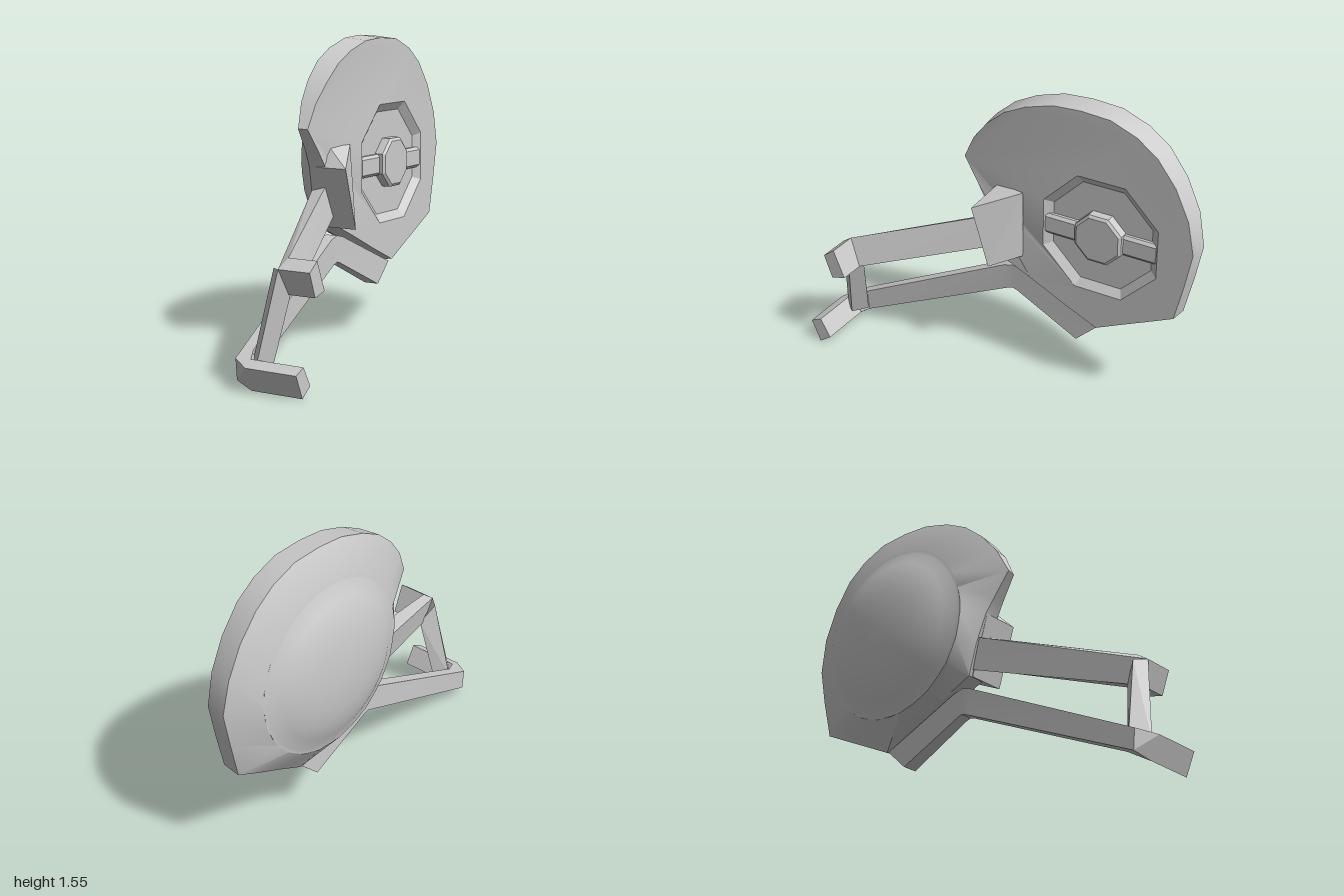
import * as THREE from 'three';
import { toCreasedNormals } from 'three/addons/utils/BufferGeometryUtils.js';
import { ConvexGeometry } from 'three/addons/geometries/ConvexGeometry.js';

const material = new THREE.MeshStandardMaterial({ color: 0xcccccc });
const CY = 0.945, CZ = -0.38;      // centre of the dome
const HY = 0.89, HZ = -0.5;        // centre of the hub
const FACE = -0.045;               // plane of the flat inner face

function add(group, name, geometry, crease = 0.5) {
  const mesh = new THREE.Mesh(toCreasedNormals(geometry, crease), material);
  mesh.name = name;
  group.add(mesh);
  return mesh;
}

// Skin a row of closed rings of [x, y, z]; faces are turned outwards by signed volume
function loft(rings, capStart = true, capEnd = true) {
  const n = rings[0].length, tris = [];
  for (let i = 0; i + 1 < rings.length; i++) {
    for (let j = 0; j < n; j++) {
      const k = (j + 1) % n, p = rings[i], q = rings[i + 1];
      tris.push([p[j], q[j], q[k]], [p[j], q[k], p[k]]);
    }
  }
  const first = rings[0], last = rings[rings.length - 1];
  for (let j = 1; j + 1 < n; j++) {
    if (capStart) tris.push([first[0], first[j], first[j + 1]]);
    if (capEnd) tris.push([last[0], last[j + 1], last[j]]);
  }
  let volume = 0;
  const v = (p) => new THREE.Vector3(...p);
  for (const [a, b, c] of tris) volume += v(a).dot(v(b).cross(v(c)));
  if (volume < 0) tris.forEach((t) => t.reverse());
  const geometry = new THREE.BufferGeometry();
  geometry.setAttribute('position', new THREE.Float32BufferAttribute(tris.flat(2), 3));
  geometry.computeVertexNormals();
  return geometry;
}

// Octagon with level top and bottom around the hub
function octagon(r, x) {
  return Array.from({ length: 8 }, (_, i) => {
    const a = (i + 0.5) * Math.PI / 4;
    return [x, HY + r * Math.sin(a), HZ + r * Math.cos(a)];
  });
}

// The inner face leans outwards near the front corner
const innerX = (z) => (z > 0.12 ? FACE - (z - 0.12) * 0.16 : FACE);

// Rim outline as [z, y, x of the outer rim edge]
const outline = [
  [0.285, 1.125, -0.12], [0.225, 1.25, -0.14], [0.14, 1.355, -0.155], [0.04, 1.44, -0.165],
  [-0.08, 1.5, -0.17], [-0.23, 1.545, -0.17], [-0.38, 1.555, -0.17], [-0.54, 1.545, -0.17],
  [-0.68, 1.49, -0.17], [-0.79, 1.41, -0.17], [-0.89, 1.28, -0.165], [-0.965, 1.12, -0.16],
  [-1.0, 0.945, -0.15], [-0.965, 0.76, -0.15], [-0.92, 0.56, -0.145], [-0.78, 0.493, -0.145],
  [-0.64, 0.427, -0.14], [-0.5, 0.36, -0.14], [-0.31, 0.445, -0.15], [-0.12, 0.535, -0.15],
  [0.055, 0.615, -0.15], [0.105, 0.77, -0.155], [0.155, 0.925, -0.14], [0.2, 1.0, -0.13],
];

function buildHousing(group) {
  const inner = outline.map(([z, y]) => {
    const iz = CZ + (z - CZ) * 0.988, iy = CY + (y - CY) * 0.98;
    return [innerX(iz), iy, iz];
  });
  const outer = outline.map(([z, y, x]) => [x, y, z]);
  const seat = outline.map(([z, y]) => {
    const r = Math.hypot(z - CZ, y - CY);
    return [-0.24, CY + (y - CY) / r * 0.455, CZ + (z - CZ) / r * 0.455];
  });
  add(group, 'rim', loft([inner, outer, seat], false, true));

  // Flat inner face with an octagonal opening
  const shape = new THREE.Shape(inner.map(([, y, z]) => new THREE.Vector2(-z, y)));
  shape.holes.push(new THREE.Path(octagon(0.335, 0).map(([, y, z]) => new THREE.Vector2(-z, y))));
  const face = new THREE.ShapeGeometry(shape).rotateY(Math.PI / 2);
  const pos = face.attributes.position;
  for (let i = 0; i < pos.count; i++) pos.setX(i, innerX(pos.getZ(i)));
  face.computeVertexNormals();
  add(group, 'innerFace', face);

  // Sloped recess wall and floor, seen from inside
  const recess = loft([octagon(0.335, FACE), octagon(0.29, FACE - 0.03)], false, true);
  const p = recess.attributes.position;
  // the floor must face +x whichever way the skin was turned
  const floorNormal = recess.attributes.normal.getX(p.count - 1);
  if (floorNormal < 0) {
    for (let i = 0; i < p.count; i += 3) {
      const a = new THREE.Vector3().fromBufferAttribute(p, i);
      const c = new THREE.Vector3().fromBufferAttribute(p, i + 2);
      p.setXYZ(i, c.x, c.y, c.z);
      p.setXYZ(i + 2, a.x, a.y, a.z);
    }
    recess.computeVertexNormals();
  }
  add(group, 'recess', recess, 0.1);

  // Shallow dome on the outer side
  const profile = [[0.455, 0.225], [0.452, 0.24], [0.435, 0.243], [0.37, 0.277], [0.28, 0.309],
    [0.19, 0.325], [0.1, 0.334], [0, 0.336]].map(([r, h]) => new THREE.Vector2(r, h));
  const dome = new THREE.LatheGeometry(profile, 40).rotateZ(Math.PI / 2).translate(0, CY, CZ);
  add(group, 'dome', dome);
}

function buildHub(group) {
  add(group, 'hub', loft([octagon(0.137, -0.08), octagon(0.137, -0.03), octagon(0.122, -0.02)]), 0.1);
  // Chamfered bars on both sides of the hub
  for (const side of [-1, 1]) {
    const section = (z) => [[-0.08, -0.055], [-0.06, -0.055], [-0.047, -0.04],
      [-0.047, 0.04], [-0.06, 0.055], [-0.08, 0.055]].map(([x, y]) => [x, HY - 0.005 + y, z]);
    add(group, 'hubBar', loft([section(HZ + side * 0.1), section(HZ + side * 0.3)]), 0.1);
  }
}

function buildArms(group) {
  // Wedge that carries the upper arm
  const wedge = [
    [FACE, 1.02, -0.075], [FACE, 0.66, -0.075], [0.07, 0.925, 0.155], [0.07, 0.615, 0.06],
    [-0.07, 1.02, 0.08], [-0.13, 0.925, 0.155], [-0.13, 0.615, 0.06],
  ].map((p) => new THREE.Vector3(...p));
  add(group, 'armBracket', new ConvexGeometry(wedge), 0.1);

  const upperElbow = [[0.165, 0.56, 0.887], [0.18, 0.605, 0.825], [0.2, 0.46, 0.765], [0.17, 0.44, 0.843]];
  add(group, 'upperArm', loft([
    [[-0.15, 0.8, 0.12], [-0.08, 0.835, 0.09], [-0.06, 0.68, 0.05], [-0.14, 0.645, 0.07]],
    upperElbow,
    upperElbow.map(([, y, z]) => [0.333, y, z]),
  ]), 0.1);

  // Strut between the two elbows
  add(group, 'strut', loft([
    [[0.11, 0.555, 0.84], [0.165, 0.56, 0.887], [0.2, 0.45, 0.835], [0.155, 0.46, 0.77]],
    [[0.01, 0.12, 0.865], [0.08, 0.11, 0.945], [0.13, 0.1, 0.885], [0.08, 0.12, 0.81]],
  ]), 0.1);

  // Lower arm: bent bar running under the housing
  const bar = (xo, xi, yt, zt, yb, zb) => [[xo, yt, zt], [xi, yt, zt], [xi, yb, zb], [xo, yb, zb]];
  const foot = [[0.06, 0.12, 1.0], [0.05, 0.147, 0.94], [0.05, 0.05, 0.885], [0.06, 0.005, 0.95]];
  add(group, 'lowerArm', loft([
    bar(-0.14, -0.06, 0.36, -0.49, 0.255, -0.38),
    bar(-0.14, -0.075, 0.553, -0.05, 0.42, -0.03),
    bar(-0.14, -0.075, 0.565, 0, 0.43, 0),
    bar(-0.14, -0.075, 0.552, 0.05, 0.42, 0.03),
    [[-0.038, 0.14, 0.935], [0.012, 0.17, 0.865], [0.012, 0.06, 0.855], [-0.038, 0.035, 0.925]],
    foot,
    foot.map(([, y, z]) => [0.333, y, z]),
  ]), 0.3);
}

export function createModel() {
  const group = new THREE.Group();
  group.name = 'wheelCoverWithArms';
  buildHousing(group);
  buildHub(group);
  buildArms(group);
  return group;
}
